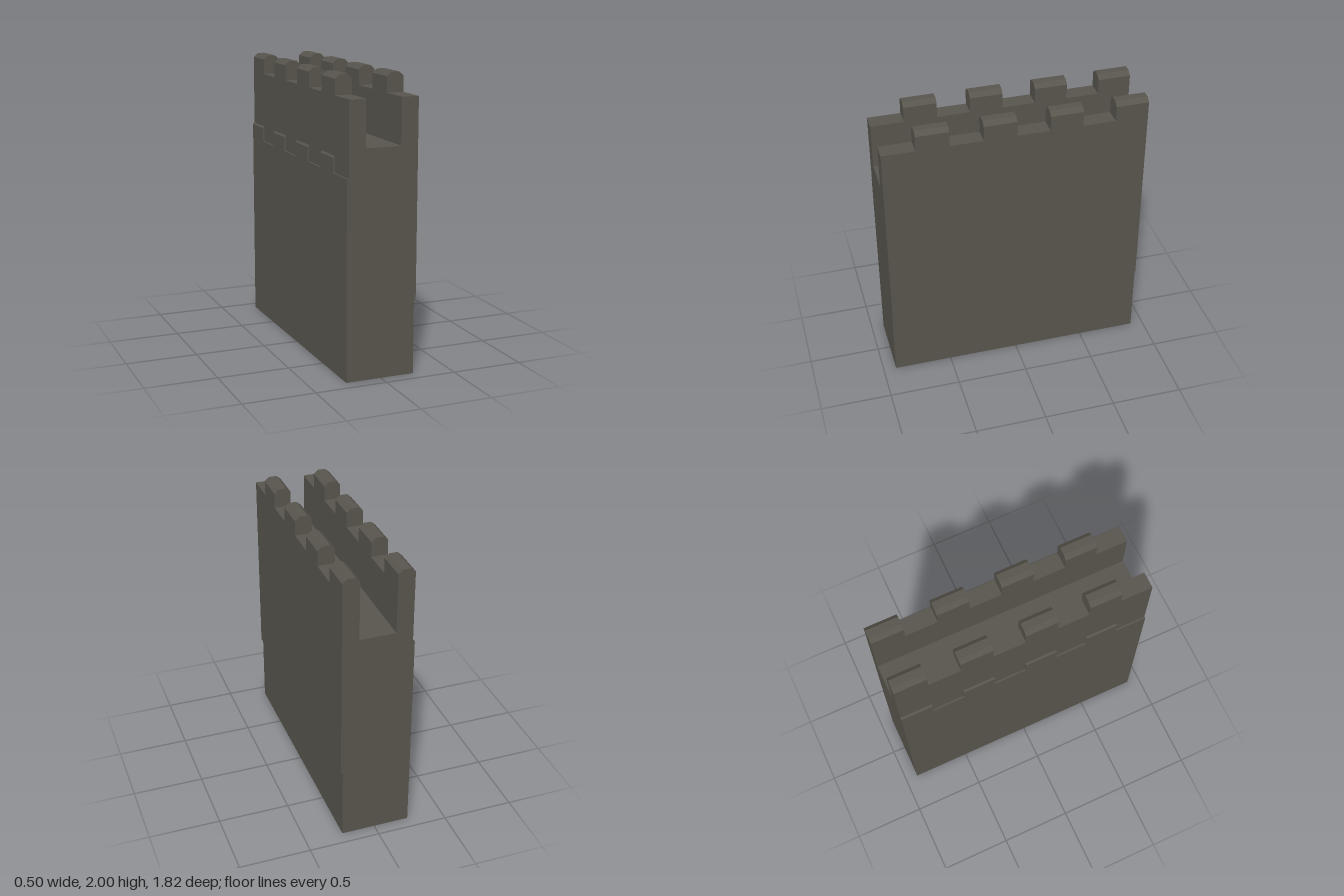
import * as THREE from 'three';

const LENGTH = 1.82;
const STEP = LENGTH / 8; // width of one merlon or one gap

// Extrudes an x-y outline along z, from z0 over the given depth
function slab(name, points, z0, depth, material) {
  const shape = new THREE.Shape(points.map(([x, y]) => new THREE.Vector2(x, y)));
  const geometry = new THREE.ExtrudeGeometry(shape, { depth, bevelEnabled: false });
  geometry.translate(0, 0, z0);
  const mesh = new THREE.Mesh(geometry, material);
  mesh.name = name;
  return mesh;
}

export function createModel() {
  const stone = new THREE.MeshStandardMaterial({ color: 0x58554d });
  stone.name = 'dark stone';

  const model = new THREE.Group();
  model.name = 'castleWall';

  // Wall body with a sunken walkway, a setback at the foot and one at the far parapet
  const body = [
    [-0.25, 0], [0.235, 0], [0.235, 0.52], [0.248, 0.52], [0.248, 1.865], [0.13, 1.865],
    [0.13, 1.55], [-0.12, 1.55], [-0.12, 1.865], [-0.237, 1.865], [-0.237, 1.36], [-0.25, 1.36],
  ];
  model.add(slab('wallBody', body, -LENGTH / 2, LENGTH, stone));

  // Chamfered merlon outline
  const merlon = (x0, x1) => [
    [x0, 1.865], [x1, 1.865], [x1, 1.972], [x1 - 0.031, 2], [x0 + 0.031, 2], [x0, 1.972],
  ];
  // Shallow raised tooth on the outer face
  const tooth = [[-0.25, 1.36], [-0.237, 1.36], [-0.237, 1.472], [-0.25, 1.46]];

  for (let i = 0; i < 4; i++) {
    const z = -LENGTH / 2 + i * 2 * STEP;
    model.add(slab('leftMerlon', merlon(0.13, 0.248), z, STEP, stone));
    model.add(slab('rightMerlon', merlon(-0.237, -0.12), z, STEP, stone));
    model.add(slab('faceTooth', tooth, z, STEP, stone));
  }
  return model;
}
